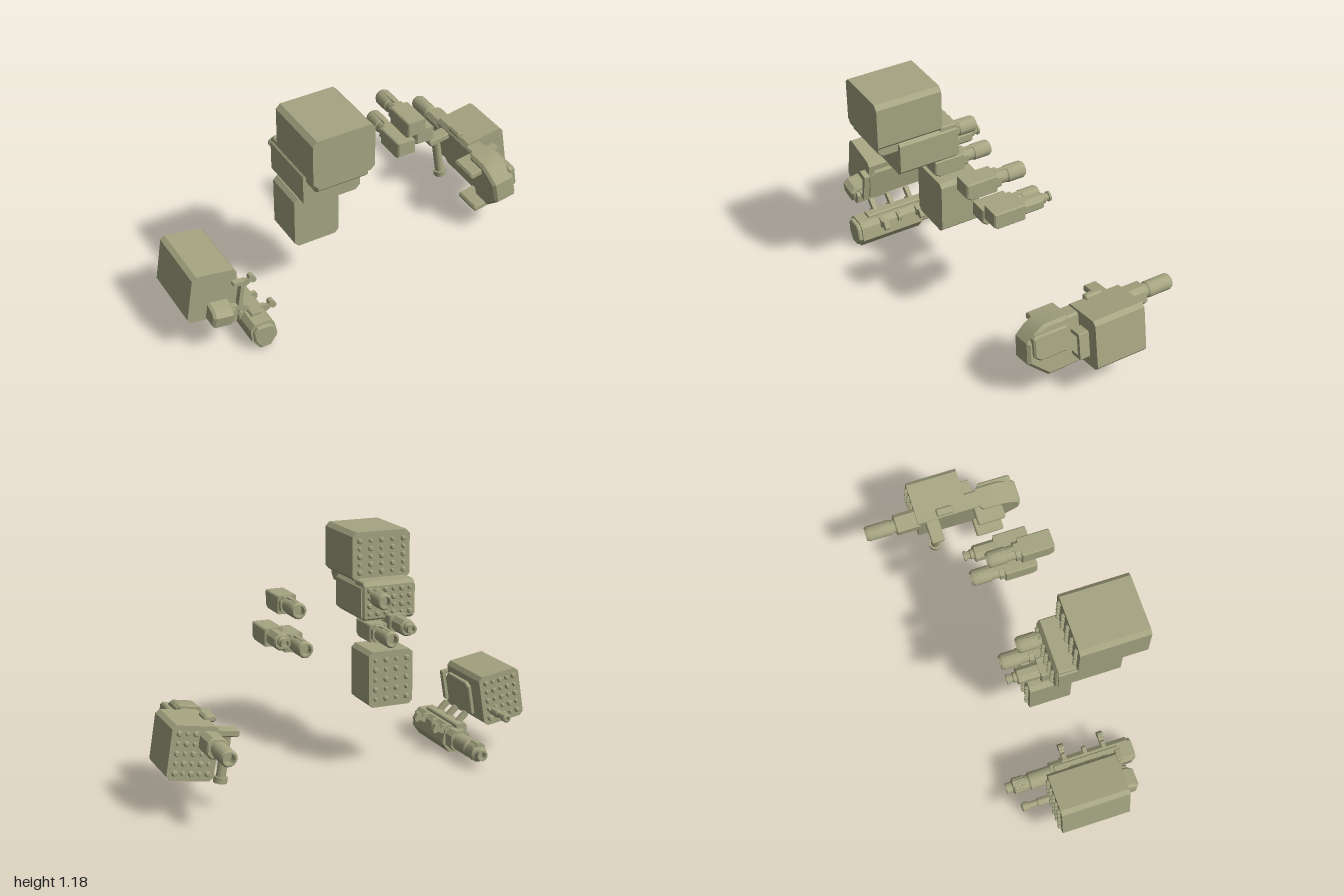
import * as THREE from 'three';
import { toCreasedNormals } from 'three/addons/utils/BufferGeometryUtils.js';

const olive = new THREE.MeshStandardMaterial({ color: 0xa5a582, side: THREE.DoubleSide });
olive.name = 'olive';

function add(parent, name, geo) {
  const m = new THREE.Mesh(toCreasedNormals(geo, 0.55), olive);
  m.name = name;
  parent.add(m);
  return m;
}
function group(parent, name, x = 0, y = 0, z = 0, tilt = 0) {
  const g = new THREE.Group();
  g.name = name;
  g.position.set(x, y, z);
  g.rotation.z = tilt;
  parent.add(g);
  return g;
}
const shapeOf = pts => new THREE.Shape(pts.map(p => new THREE.Vector2(p[0], p[1])));

// cross-section in x,y run from z0 to z1, with optional bevelled ends
function prism(parent, name, pts, z0, z1, bevel = 0) {
  const geo = new THREE.ExtrudeGeometry(shapeOf(pts), {
    depth: z1 - z0 - 2 * bevel, bevelEnabled: bevel > 0, bevelSegments: 1,
    bevelSize: bevel, bevelThickness: bevel, bevelOffset: -bevel });
  geo.translate(0, 0, z0 + bevel);
  return add(parent, name, geo);
}
// box with chamfered long edges
function block(parent, name, x, y, w, h, z0, z1, c = 0.015, bevel = 0) {
  const a = w / 2, b = h / 2;
  const pts = [[-a + c, -b], [a - c, -b], [a, -b + c], [a, b - c], [a - c, b], [-a + c, b], [-a, b - c], [-a, -b + c]];
  return prism(parent, name, pts.map(p => [p[0] + x, p[1] + y]), z0, z1, bevel);
}
// side profile in z,y, centred on x with a width
function side(parent, name, pts, x, width, bevel = 0.01) {
  const geo = new THREE.ExtrudeGeometry(shapeOf(pts), {
    depth: width - 2 * bevel, bevelEnabled: bevel > 0, bevelSegments: 1,
    bevelSize: bevel, bevelThickness: bevel, bevelOffset: -bevel });
  geo.translate(0, 0, -width / 2 + bevel);
  geo.rotateY(-Math.PI / 2);
  geo.translate(x, 0, 0);
  return add(parent, name, geo);
}
// turned part along -z from [radius, z] pairs
function barrel(parent, name, x, y, pts, sides = 16) {
  const geo = new THREE.LatheGeometry(pts.map(p => new THREE.Vector2(p[0], -p[1])), sides);
  geo.rotateX(-Math.PI / 2);
  geo.translate(x, y, 0);
  return add(parent, name, geo);
}
// rows of round-nosed missiles on a rear face
function missiles(parent, x, y, w, h, z, cols, rows) {
  for (let i = 0; i < cols; i++) for (let j = 0; j < rows; j++) {
    const r = (i + j) % 2 ? 0.011 : 0.014;
    barrel(parent, 'missileNose', x + w * (i / (cols - 1) - 0.5), y + h * (j / (rows - 1) - 0.5),
      [[r, z + 0.005], [r, z - 0.007], [r * 0.65, z - 0.015], [0, z - 0.016]], 8);
  }
}

// compact cannon, wide round muzzle
function cannon(parent, x, y, zFront) {
  const g = group(parent, 'cannon', x, y, zFront);
  side(g, 'cannonBody', [[0, 0.045], [0, -0.03], [-0.025, -0.047], [-0.165, -0.047], [-0.165, 0.045]], 0, 0.1, 0.006);
  block(g, 'cannonCollar', 0, 0, 0.085, 0.085, -0.19, -0.16, 0.02);
  barrel(g, 'cannonBarrel', 0, 0, [[0.036, -0.16], [0.036, -0.23], [0.041, -0.235], [0.041, -0.315],
    [0.034, -0.328], [0.026, -0.328], [0.026, -0.29], [0, -0.29]]);
  block(g, 'cannonRib', 0, 0.037, 0.02, 0.012, -0.3, -0.18, 0.003);
}
// compact cannon with a slim stepped muzzle
function slimCannon(parent, x, y, zFront) {
  const g = group(parent, 'slimCannon', x, y, zFront);
  side(g, 'slimCannonBody', [[0, 0.044], [0, -0.03], [-0.025, -0.045], [-0.17, -0.045], [-0.17, 0.044]], 0, 0.098, 0.006);
  block(g, 'slimCannonShroud', 0, 0, 0.075, 0.08, -0.28, -0.165, 0.022, 0.006);
  barrel(g, 'slimCannonBarrel', 0, 0.005, [[0.026, -0.27], [0.026, -0.295], [0.02, -0.3], [0.02, -0.315],
    [0.025, -0.317], [0.025, -0.328], [0.015, -0.328], [0.015, -0.3], [0, -0.3]], 12);
}
// open rectangular handle
function handle(parent, x, y, w, h, z0, z1) {
  for (const s of [-1, 1]) block(parent, 'handleArm', x, y + s * (h / 2 - 0.01), w, 0.02, z0, z1, 0.004);
  block(parent, 'handleBar', x + w / 2 - 0.01, y, 0.02, h, z0, z1, 0.005);
}

export function createModel() {
  const model = new THREE.Group();
  model.name = 'weaponSet';

  // upper missile pod
  const top = group(model, 'upperPod');
  block(top, 'upperPodCase', -0.288, 1.055, 0.315, 0.25, 0.187, 0.53, 0.022);
  side(top, 'upperPodKeel', [[0.52, 0.95], [0.52, 0.905], [0.495, 0.88], [0.38, 0.88], [0.38, 0.95]], -0.288, 0.26, 0.004);
  missiles(top, -0.288, 1.055, 0.24, 0.16, 0.187, 5, 5);

  // middle missile pod
  const mid = group(model, 'middlePod');
  block(mid, 'middlePodCase', -0.286, 0.84, 0.296, 0.19, 0.1, 0.412, 0.022);
  side(mid, 'middlePodRearCap', [[0.19, 0.945], [0.1, 0.945], [0.085, 0.925], [0.085, 0.76], [0.1, 0.75], [0.19, 0.75]], -0.286, 0.28, 0.006);
  missiles(mid, -0.286, 0.845, 0.22, 0.12, 0.085, 6, 4);

  // lower missile pod
  const low = group(model, 'lowerPod');
  block(low, 'lowerPodCase', -0.25, 0.472, 0.24, 0.287, -0.015, 0.198, 0.02);
  missiles(low, -0.25, 0.472, 0.17, 0.2, -0.015, 4, 5);

  // paired cannon clusters
  for (const [side1, x, step] of [['left', 0.245, 0.105], ['right', -0.21, -0.105]]) {
    const g = group(model, side1 + 'CannonCluster');
    cannon(g, x, 0.867, 0.295);
    cannon(g, x, 0.695, 0.212);
    slimCannon(g, x + step, 0.735, 0.21);
  }

  // right arm pod, tilted
  const rp = group(model, 'rightArmPod', -0.865, 0.31, 0, -0.165);
  block(rp, 'rightPodCase', 0, 0, 0.23, 0.265, -0.05, 0.3, 0.02);
  missiles(rp, 0, 0, 0.16, 0.19, -0.05, 5, 5);
  side(rp, 'rightPodMountPlate', [[0.27, 0.08], [0.3, 0.05], [0.3, -0.09], [0.05, -0.09], [0.05, 0.06], [0.08, 0.08]], 0.12, 0.03, 0.005);
  handle(rp, 0.115, 0.0, 0.06, 0.16, 0.31, 0.34);
  side(rp, 'rightPodNose', [[0.28, -0.03], [0.36, -0.045], [0.385, -0.07], [0.375, -0.13], [0.28, -0.13]], 0.035, 0.11, 0.012);
  block(rp, 'rightPodGrip', 0.09, -0.1, 0.05, 0.07, 0.2, 0.36, 0.012);
  barrel(rp, 'rightPodGunBarrel', 0.06, -0.06, [[0.02, -0.04], [0.02, -0.12], [0.015, -0.125], [0.015, -0.165],
    [0.022, -0.17], [0.022, -0.2], [0.012, -0.205], [0.012, -0.18], [0, -0.18]], 10);

  // long rifle standing low on the right
  const lr = group(model, 'longRifle');
  const hex = [[-0.69, 0.0], [-0.632, 0.0], [-0.592, 0.055], [-0.606, 0.125], [-0.63, 0.148], [-0.71, 0.15], [-0.732, 0.122], [-0.727, 0.055]];
  prism(lr, 'rifleReceiver', hex, 0.07, 0.42);
  prism(lr, 'rifleButt', hex.map(([x, y]) => [-0.662 + (x + 0.662) * 0.85, 0.078 + (y - 0.078) * 0.85]), 0.415, 0.44, 0.005);
  block(lr, 'rifleShroud', -0.662, 0.078, 0.105, 0.11, 0.005, 0.075, 0.025);
  barrel(lr, 'rifleBarrel', -0.662, 0.073, [[0.046, 0.02], [0.046, -0.11], [0.038, -0.12], [0.038, -0.135], [0.043, -0.14],
    [0.043, -0.195], [0.028, -0.205], [0.028, -0.235], [0.018, -0.235], [0.018, -0.2], [0, -0.2]]);
  for (const z of [-0.15, -0.168, -0.186]) block(lr, 'muzzleFin', -0.662, 0.078, 0.07, 0.09, z - 0.005, z + 0.005, 0.012);
  block(lr, 'rifleSight', -0.662, 0.118, 0.035, 0.025, -0.2, -0.135, 0.006);
  block(lr, 'rifleTopRail', -0.67, 0.153, 0.05, 0.025, 0.02, 0.36, 0.006);
  for (const z of [0.09, 0.2, 0.3]) {
    block(lr, 'rifleBand', -0.662, 0.125, 0.148, 0.045, z - 0.01, z + 0.01, 0.012);
    const strut = group(lr, 'rifleStrut', -0.7, 0.165, z, -0.75);
    block(strut, 'strutBar', -0.01, 0, 0.085, 0.03, -0.012, 0.012, 0.006);
  }
  for (const z of [0.09, 0.3]) {
    const knob = group(lr, 'rifleSideKnob', -0.59, 0.12, z, 0.5);
    block(knob, 'knobArm', 0, 0, 0.08, 0.022, -0.012, 0.012, 0.005);
    block(knob, 'knobHead', 0.035, 0, 0.03, 0.052, -0.014, 0.014, 0.01);
  }

  // left arm pod with heavy rifle, tilted
  const lp = group(model, 'leftArmPod', 0.865, 0.308, 0, 0.165);
  block(lp, 'leftPodCase', 0, 0, 0.23, 0.265, -0.255, 0.017, 0.02);
  missiles(lp, 0, 0, 0.16, 0.19, -0.255, 5, 5);
  handle(lp, 0.02, -0.01, 0.07, 0.14, 0.015, 0.07);

  const hr = group(model, 'heavyRifle', 0.785, 0.295, 0, 0.165);
  side(hr, 'heavyRifleBody', [[0.12, 0.12], [0.12, -0.15], [-0.2, -0.14], [-0.25, -0.08], [-0.25, 0.1], [-0.22, 0.12]], 0.01, 0.09);
  side(hr, 'heavyRifleStock', [[0.255, 0.1], [0.3, 0.06], [0.305, -0.05], [0.2, -0.145], [0.1, -0.145], [0.08, 0.13], [0.2, 0.13]], 0.005, 0.125, 0.014);
  side(hr, 'stockCheekPlate', [[0.28, 0.09], [0.28, -0.01], [0.25, -0.035], [0.1, -0.035], [0.1, 0.1], [0.265, 0.1]], 0.07, 0.04, 0.008);
  block(hr, 'heavyRifleTopSight', -0.01, 0.135, 0.04, 0.035, -0.15, -0.06, 0.01, 0.006);
  block(hr, 'heavyRifleFore', 0.01, 0.06, 0.1, 0.1, -0.37, -0.24, 0.022, 0.006);
  barrel(hr, 'heavyRifleBarrel', 0.008, 0.062, [[0.036, -0.36], [0.036, -0.39], [0.041, -0.395], [0.041, -0.515],
    [0.034, -0.528], [0.026, -0.528], [0.026, -0.48], [0, -0.48]]);
  // upright foregrip with end caps
  block(hr, 'foregripArm', -0.08, 0.09, 0.14, 0.035, -0.215, -0.145, 0.008, 0.005);
  const grip = new THREE.CylinderGeometry(0.022, 0.024, 0.24, 12);
  grip.translate(-0.098, -0.03, -0.18);
  add(hr, 'foregrip', grip);
  const foot = new THREE.CylinderGeometry(0.034, 0.034, 0.03, 12);
  foot.translate(-0.098, -0.145, -0.18);
  add(hr, 'foregripFoot', foot);
  // side plates above and below the stock
  for (const [name, y] of [['upperSidePlate', 0.085], ['lowerSidePlate', -0.14]])
    block(hr, name, -0.07, y, 0.11, 0.035, 0.045, 0.195, 0.01, 0.006);

  return model;
}
